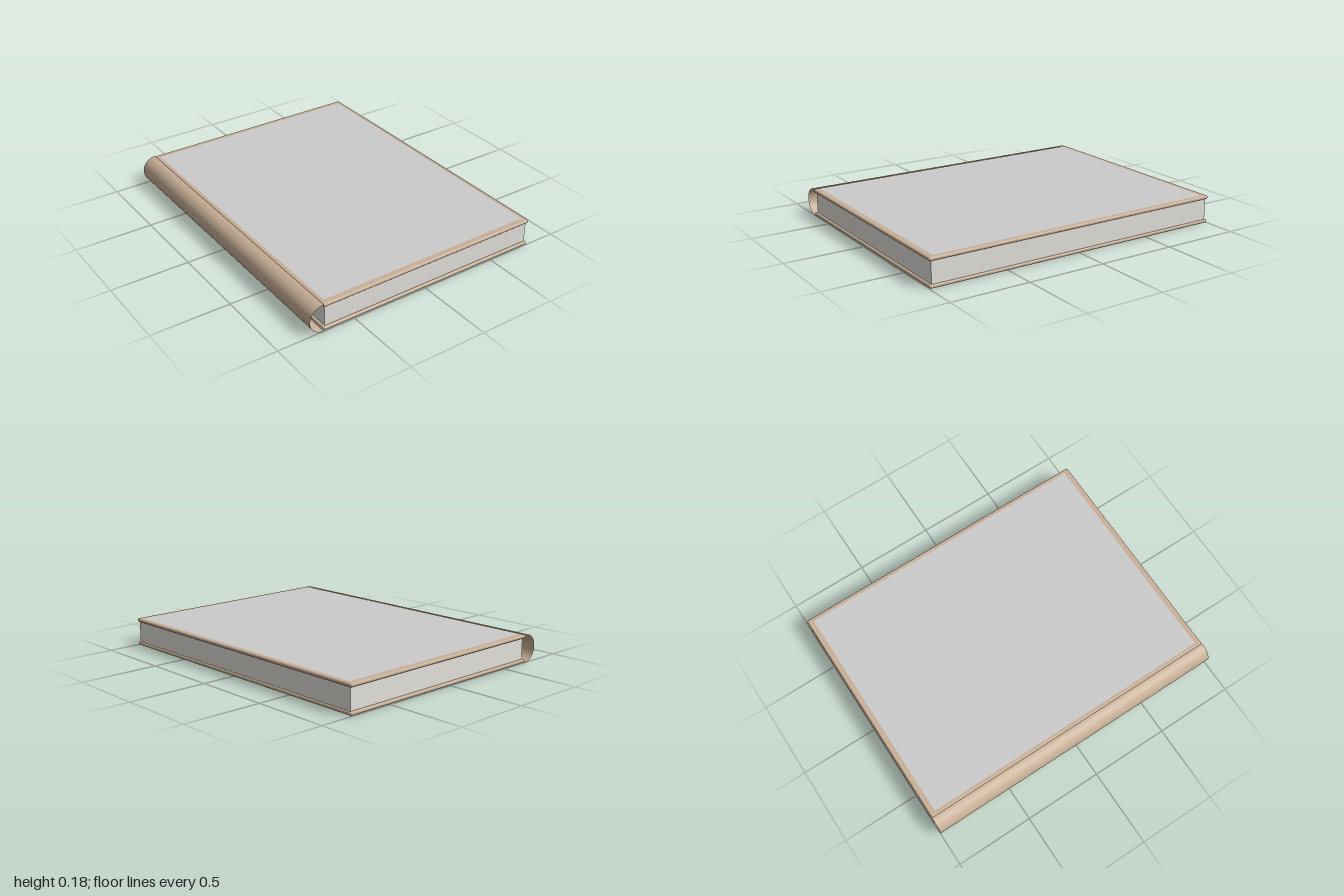
import * as THREE from 'three';
import { RoundedBoxGeometry } from 'three/addons/geometries/RoundedBoxGeometry.js';

const HEIGHT = 0.178;   // overall thickness of the closed book
const LENGTH = 2;       // spine length along z
const BOARD = 0.022;    // cover board thickness
const LEFT = -0.705, RIGHT = 0.793;

export function createModel() {
  const book = new THREE.Group();
  book.name = 'book';

  const cloth = new THREE.MeshStandardMaterial({ color: 0xc8b097, side: THREE.DoubleSide });
  const paper = new THREE.MeshStandardMaterial({ color: 0xe6e4de });
  const grey = new THREE.MeshStandardMaterial({ color: 0xcccccc });

  const add = (name, geometry, material, x, y, z = 0) => {
    const mesh = new THREE.Mesh(geometry, material);
    mesh.name = name;
    mesh.position.set(x, y, z);
    book.add(mesh);
    return mesh;
  };

  // Two cover boards with softly rounded edges
  const midX = (LEFT + RIGHT) / 2;
  const board = new RoundedBoxGeometry(RIGHT - LEFT, BOARD, LENGTH, 4, 0.01);
  add('backCover', board, cloth, midX, BOARD / 2);
  add('frontCover', board, cloth, midX, HEIGHT - BOARD / 2);

  // Page block, set in slightly from the covers
  const pages = new THREE.BoxGeometry(1.472, HEIGHT - 2 * BOARD + 0.004, 1.97);
  add('pages', pages, paper, 0.047, HEIGHT / 2);

  // Panel on the front cover, leaving a narrow border
  const panel = new THREE.PlaneGeometry(1.445, 1.925).rotateX(-Math.PI / 2);
  add('frontPanel', panel, grey, 0.043, HEIGHT + 0.001);

  // Open half-round spine, a thin shell hollow behind the pages
  const spine = new THREE.CylinderGeometry(
    HEIGHT / 2, HEIGHT / 2, LENGTH, 32, 1, true, Math.PI, Math.PI);
  spine.rotateX(Math.PI / 2);
  add('spine', spine, cloth, LEFT, HEIGHT / 2);

  return book;
}
